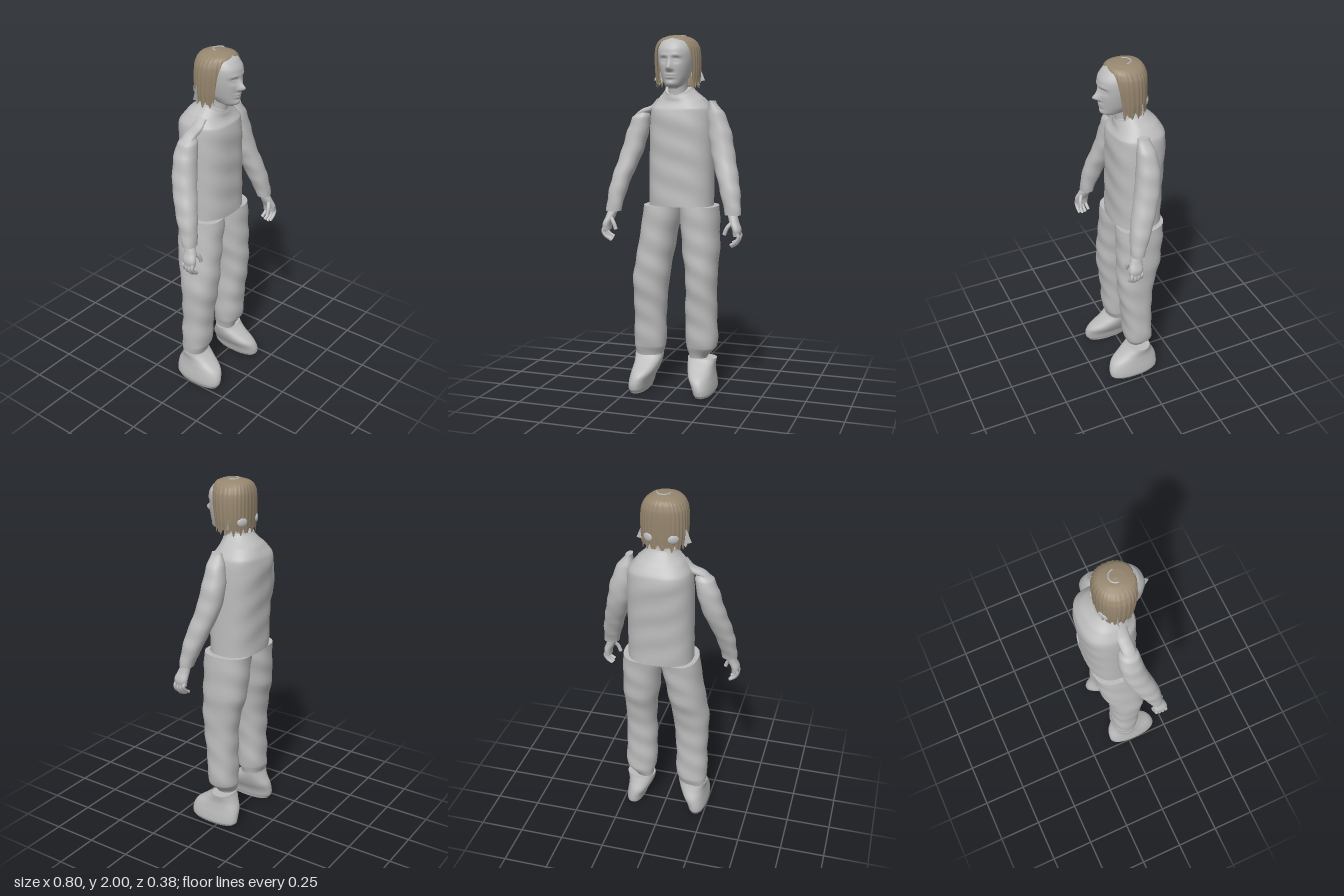
import * as THREE from 'three';

const grey = new THREE.MeshStandardMaterial({ color: 0xbcbcbc, side: THREE.DoubleSide });
grey.name = 'plain grey';
const brown = new THREE.MeshStandardMaterial({ color: 0x96866f, side: THREE.DoubleSide });
brown.name = 'hair brown';

const spow = (v, p) => Math.sign(v) * Math.pow(Math.abs(v), p);
const bell = (d, s) => Math.exp(-(d * d) / (2 * s * s));

// Smooth skin through horizontal sections listed upwards: [y, cx, cz, rx, rz, frontGap]
function loft(sections, { seg = 40, sub = 8, e = 2.2, open = false, warp } = {}) {
  const pos = [], idx = [], v = new THREE.Vector3();
  const last = sections.length - 1, rows = last * sub;
  const at = (i) => sections[Math.min(last, Math.max(0, i))];
  const cols = open ? seg + 1 : seg;
  for (let r = 0; r <= rows; r++) {
    const i = Math.min(last - 1, Math.floor(r / sub)), t = r / sub - i;
    const s = at(i).map((p1, k) => {
      const p0 = at(i - 1)[k], p2 = at(i + 1)[k], p3 = at(i + 2)[k];
      if (k === 0) return p1 + (p2 - p1) * t;
      const m1 = (p2 - p0) / 2, m2 = (p3 - p1) / 2, t2 = t * t, t3 = t2 * t;
      return (2 * t3 - 3 * t2 + 1) * p1 + (t3 - 2 * t2 + t) * m1 + (3 * t2 - 2 * t3) * p2 + (t3 - t2) * m2;
    });
    const gap = open ? Math.max(0, s[5]) : 0;
    for (let j = 0; j < cols; j++) {
      const a = gap + (j / seg) * (2 * Math.PI - 2 * gap);
      v.set(s[1] + s[3] * spow(Math.sin(a), 2 / e), s[0], s[2] + s[4] * spow(Math.cos(a), 2 / e));
      if (warp) warp(v, a, s);
      pos.push(v.x, v.y, v.z);
    }
  }
  for (let r = 0; r < rows; r++) {
    for (let j = 0; j < seg; j++) {
      const k = (j + 1) % cols, a = r * cols + j, b = r * cols + k;
      idx.push(a, b, a + cols, b, b + cols, a + cols);
    }
  }
  if (!open) {
    // separate cap vertices keep the rims crisp
    for (const r of [0, rows]) {
      const s = at(r ? last : 0), base = pos.length / 3;
      const ring = pos.slice(r * cols * 3, (r + 1) * cols * 3);
      let y = 0;
      for (let j = 0; j < cols; j++) y += ring[j * 3 + 1] / cols;
      pos.push(...ring, s[1], y, s[2]);
      for (let j = 0; j < cols; j++) {
        const k = (j + 1) % cols;
        idx.push(base + cols, base + (r ? j : k), base + (r ? k : j));
      }
    }
  }
  const g = new THREE.BufferGeometry();
  g.setAttribute('position', new THREE.Float32BufferAttribute(pos, 3));
  g.setIndex(idx);
  g.computeVertexNormals();
  return g;
}

export function createModel() {
  const model = new THREE.Group();
  const add = (name, geo, mat = grey, parent = model) => {
    const m = new THREE.Mesh(geo, mat);
    m.name = name;
    parent.add(m);
    return m;
  };
  const tube = (pts, r) => new THREE.TubeGeometry(
    new THREE.CatmullRomCurve3(pts.map((p) => new THREE.Vector3(...p))), 12, r, 10);

  // Shirt with soft folds and a neckline that dips at the front
  add('torso', loft([
    [1.065, 0.02, -0.028, 0.182, 0.137], [1.3, 0.02, -0.033, 0.18, 0.14],
    [1.5, 0.02, -0.04, 0.178, 0.146], [1.6, 0.02, -0.043, 0.168, 0.143],
    [1.655, 0.018, -0.038, 0.13, 0.112], [1.695, 0.015, -0.02, 0.09, 0.088],
    [1.72, 0.012, -0.012, 0.075, 0.078]], {
    seg: 56, e: 2.5,
    warp: (v, a) => {
      v.z += 0.003 * Math.sin(v.y * 42 + 3 * Math.sin(a)) * Math.cos(a);
      if (v.y > 1.6) v.y -= (v.y - 1.6) * Math.max(0, v.z) * 5;
    } }));
  add('neck', loft([
    [1.63, 0.01, 0.0, 0.06, 0.065], [1.7, 0.01, 0.005, 0.052, 0.065],
    [1.78, 0.01, 0.015, 0.055, 0.07]]));

  // Head with nose, brows, sockets, eyes, lips and chin pushed from the front
  add('head', loft([
    [1.712, 0.01, 0.088, 0.02, 0.03], [1.73, 0.01, 0.073, 0.047, 0.07],
    [1.77, 0.01, 0.05, 0.07, 0.098], [1.82, 0.01, 0.04, 0.085, 0.115],
    [1.87, 0.01, 0.037, 0.094, 0.12], [1.92, 0.01, 0.035, 0.095, 0.119],
    [1.96, 0.01, 0.03, 0.08, 0.098], [1.98, 0.01, 0.02, 0.052, 0.07],
    [1.99, 0.01, 0.02, 0.01, 0.012]], {
    seg: 96, sub: 10,
    warp: (v) => {
      if (v.z < 0.07) return;
      const x = v.x - 0.01, ax = Math.abs(x), y = v.y;
      v.z += 0.032 * bell(x, 0.009) * bell(y - 1.822, 0.013)
        + 0.012 * bell(x, 0.009) * bell(y - 1.85, 0.02)
        + 0.008 * bell(ax - 0.013, 0.006) * bell(y - 1.815, 0.007)
        - 0.014 * bell(ax - 0.034, 0.016) * bell(y - 1.864, 0.011)
        + 0.008 * bell(ax - 0.034, 0.011) * bell(y - 1.862, 0.006)
        + 0.005 * bell(ax - 0.034, 0.018) * bell(y - 1.887, 0.007)
        + 0.009 * bell(x, 0.018) * (bell(y - 1.785, 0.005) + bell(y - 1.77, 0.005))
        + 0.007 * bell(x, 0.018) * bell(y - 1.738, 0.011);
    } }));

  // Bobbed hair: open shell with strands and a ragged hem
  add('hair', loft([
    [1.73, 0.01, 0.005, 0.118, 0.095, 0.95], [1.8, 0.01, 0.006, 0.125, 0.1, 0.9],
    [1.88, 0.01, 0.01, 0.126, 0.106, 0.85], [1.93, 0.01, 0.012, 0.12, 0.106, 0.75],
    [1.962, 0.01, 0.015, 0.104, 0.1, 0.6], [1.981, 0.01, 0.018, 0.08, 0.088, 0],
    [1.994, 0.01, 0.018, 0.045, 0.052, 0], [2.0, 0.01, 0.018, 0.001, 0.001, 0]], {
    seg: 120, e: 2.3, open: true,
    warp: (v, a, s) => {
      const k = 1 + 0.014 * Math.sin(a * 31) * Math.min(1, s[3] * 9);
      v.x = s[1] + (v.x - s[1]) * k;
      v.z = s[2] + (v.z - s[2]) * k;
      if (s[0] < 1.78) v.y += (1.78 - s[0]) * 0.25 * (Math.sin(a * 17) + 0.6 * Math.sin(a * 29));
    } }), brown);
  const crown = add('crownParting', new THREE.TorusGeometry(0.035, 0.004, 6, 24, Math.PI));
  crown.rotation.x = -Math.PI / 2;
  crown.position.set(0.02, 1.996, 0.02);

  // Loose grey locks beside the jaw and at the nape
  for (const s of [-1, 1]) {
    const lock = new THREE.Shape([
      [0.1, 1.84], [0.122, 1.82], [0.148, 1.755], [0.125, 1.75], [0.115, 1.725], [0.095, 1.76],
    ].map(([x, y]) => new THREE.Vector2(0.005 + s * x, y)));
    add('sideLock', new THREE.ShapeGeometry(lock)).position.z = -0.03;
    const nape = add('napeLock', new THREE.SphereGeometry(1, 20, 12));
    nape.scale.set(0.03, 0.024, 0.01);
    nape.position.set(0.01 + s * 0.068, 1.785, -0.08);
    nape.rotation.y = -s * 0.5;
  }

  // Sleeves
  const sleeve = { seg: 36, warp: (v, a) => { v.x += 0.002 * Math.sin(v.y * 60 + a); } };
  add('rightArm', loft([
    [1.03, -0.342, 0.095, 0.042, 0.037], [1.1, -0.332, 0.08, 0.047, 0.048],
    [1.2, -0.312, 0.052, 0.053, 0.06], [1.35, -0.266, 0.006, 0.061, 0.066],
    [1.48, -0.232, -0.012, 0.06, 0.062], [1.55, -0.212, -0.012, 0.05, 0.052],
    [1.585, -0.195, -0.01, 0.025, 0.03]], sleeve));
  add('leftArm', loft([
    [1.035, 0.35, 0.095, 0.042, 0.037], [1.1, 0.338, 0.08, 0.05, 0.048],
    [1.2, 0.314, 0.052, 0.057, 0.06], [1.35, 0.271, 0.006, 0.064, 0.066],
    [1.48, 0.244, -0.012, 0.063, 0.062], [1.58, 0.222, -0.01, 0.045, 0.048],
    [1.645, 0.202, -0.005, 0.018, 0.03]], sleeve));

  // Narrow strip of cloth joining the slipped right sleeve to the collar
  const strap = add('shoulderStrap', tube(
    [[-0.235, 1.55, 0], [-0.2, 1.58, 0], [-0.14, 1.603, 0], [-0.1, 1.645, 0]], 0.018));
  strap.scale.z = 2;
  strap.position.z = -0.01;

  // Hands with curled fingers
  for (const s of [-1, 1]) {
    const hand = new THREE.Group();
    hand.name = s < 0 ? 'rightHand' : 'leftHand';
    hand.position.x = s < 0 ? 0 : 0.006;
    model.add(hand);
    add('palm', loft([
      [0.925, s * 0.373, 0.115, 0.02, 0.036], [0.96, s * 0.372, 0.115, 0.024, 0.04],
      [1.0, s * 0.355, 0.108, 0.026, 0.034], [1.05, s * 0.342, 0.097, 0.026, 0.026]]), grey, hand);
    for (let i = 0; i < 4; i++) {
      const z = 0.086 + i * 0.019, drop = [0.015, 0.004, 0, 0.008][i];
      add('finger', tube([[s * 0.378, 0.945, z], [s * 0.388, 0.912 + drop, z + 0.002],
        [s * 0.372, 0.885 + drop, z + 0.002], [s * 0.345, 0.868 + drop, z]], 0.0095), grey, hand);
    }
    add('thumb', tube([[s * 0.35, 1.0, 0.125], [s * 0.325, 0.97, 0.142],
      [s * 0.31, 0.932, 0.145]], 0.011), grey, hand);
  }

  // Trousers: two separate legs with flat tops
  const cloth = { seg: 44, e: 2.3, warp: (v, a) => {
    v.z += 0.003 * Math.sin(v.y * 45 + 2 * a);
    v.x += 0.002 * Math.sin(v.y * 38 + a);
  } };
  add('rightLeg', loft([
    [0.19, -0.165, -0.01, 0.078, 0.062], [0.25, -0.16, -0.004, 0.091, 0.08],
    [0.45, -0.155, 0.004, 0.091, 0.086], [0.65, -0.147, 0.01, 0.102, 0.104],
    [0.82, -0.122, -0.01, 0.101, 0.125], [1.065, -0.086, -0.022, 0.104, 0.133]], cloth));
  add('leftLeg', loft([
    [0.2, 0.128, -0.01, 0.05, 0.055], [0.265, 0.148, -0.004, 0.087, 0.08],
    [0.45, 0.147, 0.004, 0.089, 0.086], [0.65, 0.149, 0.01, 0.086, 0.104],
    [0.82, 0.141, -0.01, 0.101, 0.125], [1.065, 0.128, -0.022, 0.107, 0.133]], cloth));

  // Shoes lean inwards from sole to ankle
  const shoe = (name, s, dx, dy) => add(name, loft([
    [dy, s * 0.2 + dx, 0.038, 0.047, 0.13], [0.025, s * 0.2 + dx, 0.037, 0.055, 0.147],
    [0.065, s * 0.193 + dx, 0.036, 0.06, 0.15], [0.11, s * 0.178 + dx, 0.028, 0.069, 0.138],
    [0.155, s * 0.168 + dx, 0.008, 0.076, 0.097], [0.2, s * 0.167 + dx, -0.01, 0.083, 0.062]], { e: 2.3 }));
  shoe('rightShoe', -1, 0, 0);
  shoe('leftShoe', 1, -0.016, 0.008);

  return model;
}
